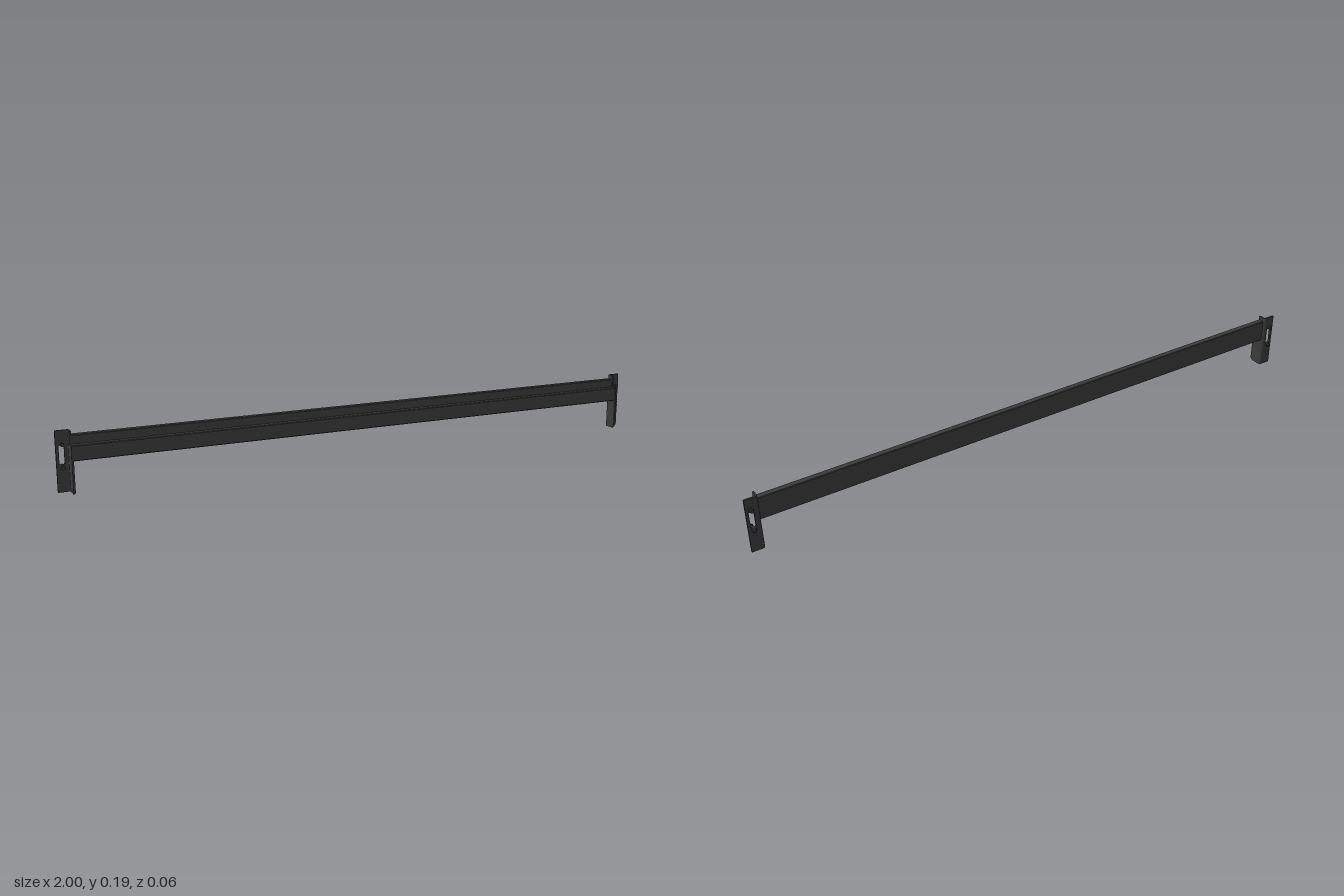
import * as THREE from 'three';

export function createModel() {
  const model = new THREE.Group();
  model.name = 'shelfBeam';
  const steel = new THREE.MeshStandardMaterial({ color: 0x3a3a3a });

  const add = (parent, name, geometry, x = 0, y = 0, z = 0) => {
    const mesh = new THREE.Mesh(geometry, steel);
    mesh.name = name;
    mesh.position.set(x, y, z);
    parent.add(mesh);
    return mesh;
  };
  const extrude = (shape, depth, curveSegments = 8) =>
    new THREE.ExtrudeGeometry(shape, { depth, bevelEnabled: false, curveSegments });
  // Extrudes a [z, y] profile along x, centred on x = 0
  const alongX = (profile, length) => {
    const shape = new THREE.Shape(profile.map(([z, y]) => new THREE.Vector2(-z, y)));
    return extrude(shape, length).translate(0, 0, -length / 2).rotateY(Math.PI / 2);
  };

  // Stepped box beam
  add(model, 'beam', alongX([
    [-0.012, 0.1], [0.026, 0.1], [0.028, 0.102], [0.028, 0.145], [0.026, 0.147],
    [0.009, 0.147], [0.009, 0.173], [0.007, 0.175], [-0.01, 0.175], [-0.012, 0.173],
  ], 1.916));

  // Slotted end brackets with locking pins
  for (const side of [1, -1]) {
    const bracket = new THREE.Group();
    bracket.name = side > 0 ? 'leftBracket' : 'rightBracket';
    model.add(bracket);

    // Side plate, stepped like the beam, chamfered at the lower front
    add(bracket, 'sidePlate', alongX([
      [-0.009, 0], [0.022, 0], [0.03, 0.008], [0.03, 0.147],
      [0.01, 0.147], [0.01, 0.187], [-0.009, 0.187],
    ], 0.006), side * 0.96);

    // Rounded bend between the two plates
    const bend = [];
    const corner = (radius, t) => bend.push(new THREE.Vector2(
      side * (0.966 - radius * Math.cos(t)), 0.009 + radius * Math.sin(t)));
    for (let i = 0; i <= 6; i++) corner(0.009, i * Math.PI / 12);
    for (let i = 6; i >= 0; i--) corner(0.003, i * Math.PI / 12);
    add(bracket, 'bend', extrude(new THREE.Shape(bend), 0.187).rotateX(-Math.PI / 2));

    // Back plate with its vertical slot
    const plate = new THREE.Shape([
      [-0.017, 0], [0.017, 0], [0.017, 0.187], [-0.017, 0.187],
    ].map(([x, y]) => new THREE.Vector2(x, y)));
    const slot = new THREE.Path();
    slot.moveTo(-0.008, 0.09);
    slot.absarc(0, 0.136, 0.008, Math.PI, 0, true);
    slot.absarc(0, 0.09, 0.008, 0, -Math.PI, true);
    plate.holes.push(slot);
    add(bracket, 'backPlate', extrude(plate, 0.006), side * 0.983, 0, -0.018);

    // Stepped pins: head, shank, collar and hooked tip
    const pinProfile = [
      [0, 0.005], [0.006, 0.005], [0.006, 0.002], [0.003, 0.002], [0.003, -0.012],
      [0.0075, -0.012], [0.0075, -0.022], [0.005, -0.024], [0.005, -0.0285], [0, -0.0285],
    ].reverse().map(([r, z]) => new THREE.Vector2(r, z));
    for (const y of [0.147, 0.077]) {
      const pin = new THREE.LatheGeometry(pinProfile, 16).toNonIndexed();
      pin.computeVertexNormals();
      add(bracket, 'pin', pin.rotateX(Math.PI / 2), side * 0.983, y);
    }
  }
  return model;
}
